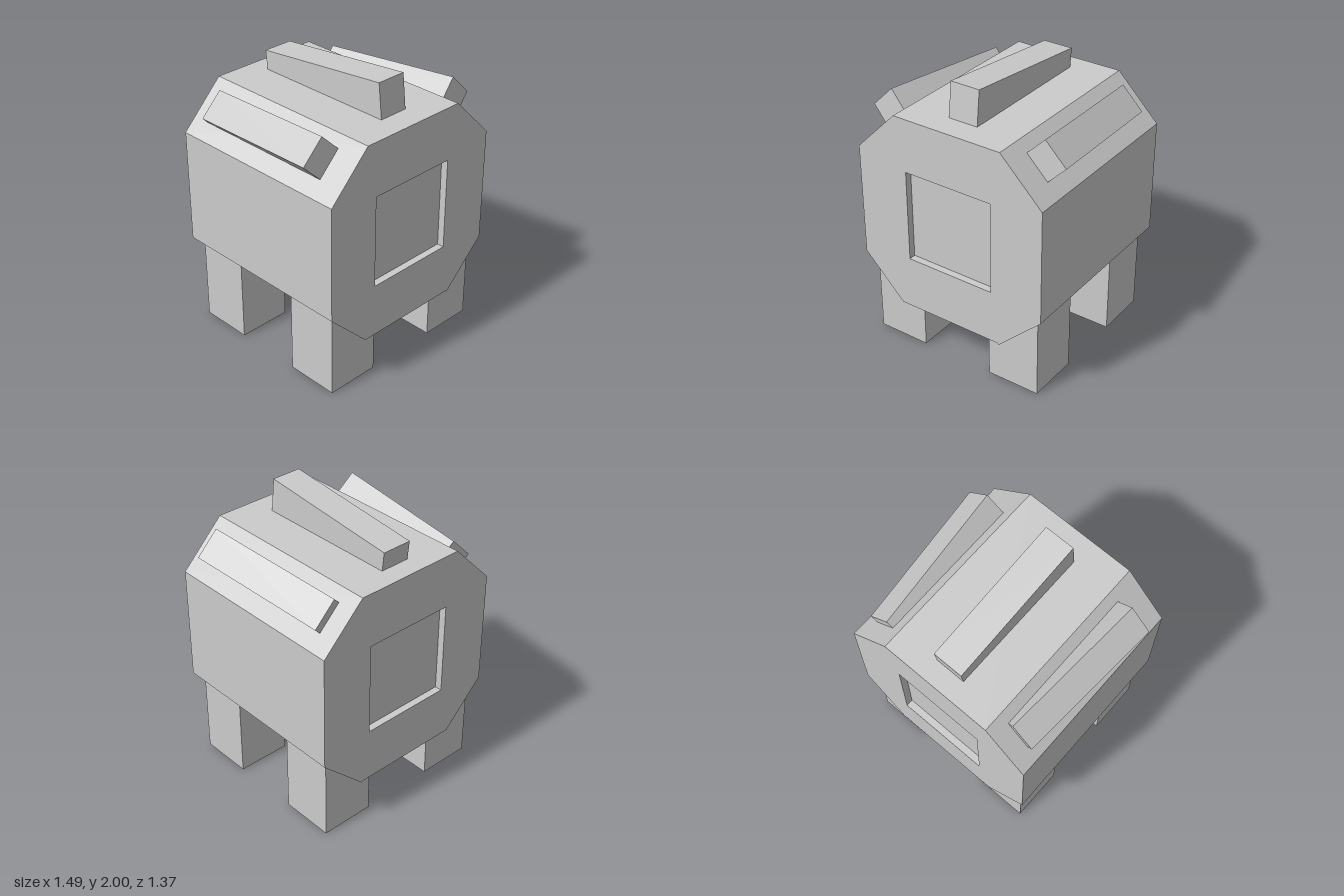
import * as THREE from 'three';

const DEPTH = 1.37, RECESS = 0.05;
const PIVOT_Y = 1.0675; // axis the fins fan around

export function createModel() {
  const model = new THREE.Group();
  model.name = 'blockyCreature';
  const material = new THREE.MeshStandardMaterial({ color: 0xcccccc, flatShading: true });

  const addMesh = (name, geometry, parent = model) => {
    const mesh = new THREE.Mesh(geometry, material);
    mesh.name = name;
    parent.add(mesh);
    return mesh;
  };

  // Octagonal body with a square opening through it
  const outline = [
    [-0.41, 0.332], [0.38, 0.332], [0.39, 0.322], [0.713, 0.632],
    [0.713, 1.45], [0.405, 1.757], [-0.41, 1.757], [-0.713, 1.45], [-0.713, 0.635],
  ];
  const shape = new THREE.Shape(outline.map(([x, y]) => new THREE.Vector2(x, y)));
  const opening = [[-0.33, 0.715], [-0.33, 1.375], [0.33, 1.375], [0.33, 0.715]];
  shape.holes.push(new THREE.Path(opening.map(([x, y]) => new THREE.Vector2(x, y))));
  const bodyGeometry = new THREE.ExtrudeGeometry(shape, { depth: DEPTH, bevelEnabled: false });
  bodyGeometry.translate(0, 0, -DEPTH / 2);
  addMesh('body', bodyGeometry);

  // Core fills the opening, leaving shallow panels at front and back
  addMesh('recessedPanels', new THREE.BoxGeometry(0.66, 0.66, DEPTH - 2 * RECESS))
    .position.set(0, 1.045, 0);

  // Four square legs
  for (const [side, x] of [['left', 0.4625], ['right', -0.4625]]) {
    for (const [end, z] of [['Front', 0.4375], ['Back', -0.4375]]) {
      addMesh(`${side}${end}Leg`, new THREE.BoxGeometry(0.385, 0.575, 0.382))
        .position.set(x, 0.2875, z);
    }
  }

  // Three back fins, each sloping down toward the rear
  const addFin = (name, angle, lift) => {
    const arm = new THREE.Group();
    arm.name = name;
    arm.position.y = PIVOT_Y;
    arm.rotation.z = angle;
    const fin = addMesh(name + 'Blade', new THREE.BoxGeometry(0.217, 0.28, 1.041), arm);
    fin.position.set(0, 0.7385 + lift, -0.023);
    fin.rotation.x = -0.105;
    model.add(arm);
  };
  addFin('topFin', 0, 0);
  addFin('leftFin', -Math.PI / 4, 0.011);
  addFin('rightFin', Math.PI / 4, 0.011);

  return model;
}
